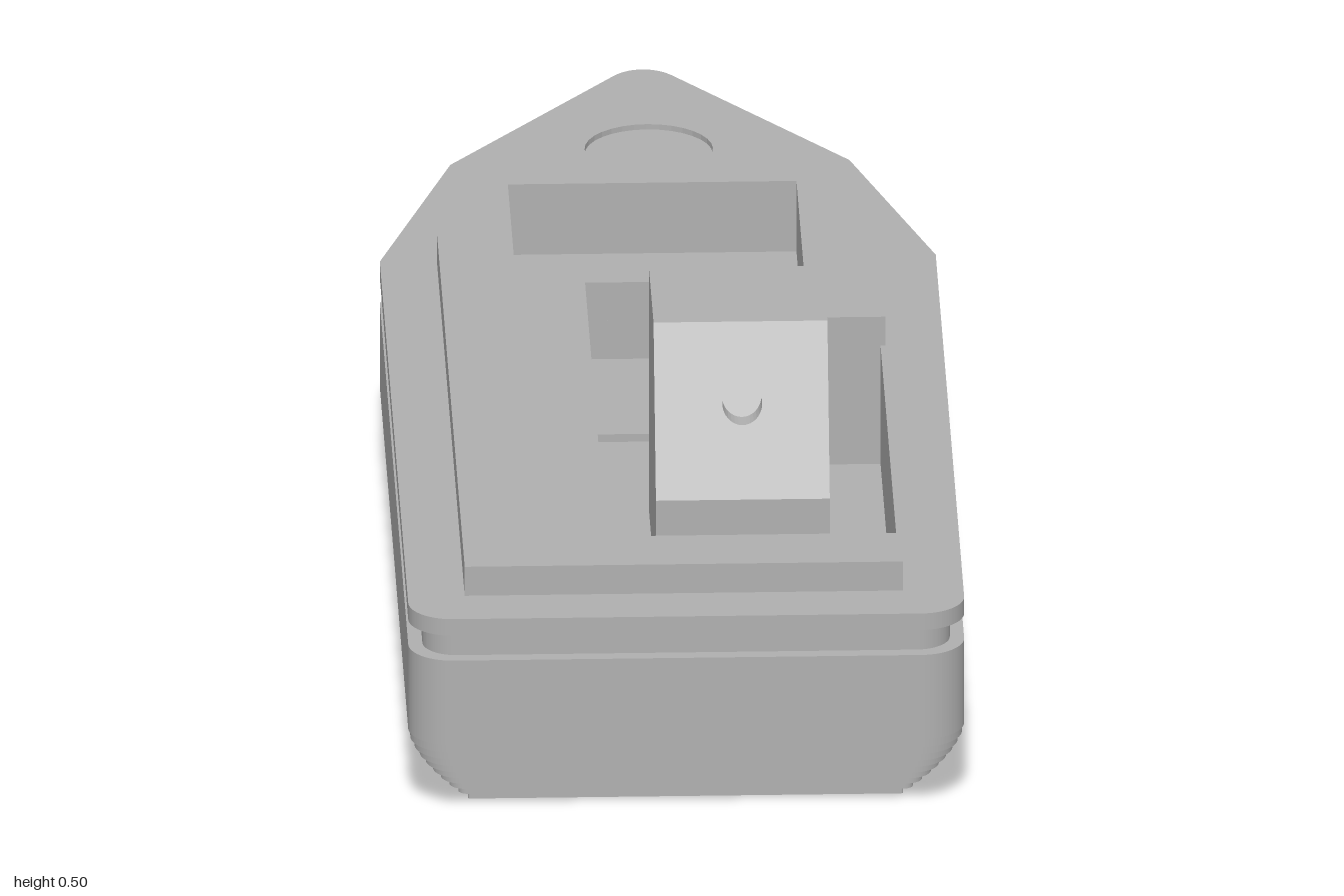
import * as THREE from 'three';

const grey = new THREE.MeshStandardMaterial({ color: 0xb0b0b0 });
grey.name = 'hull grey';

// Closed loop from [x, z] pairs; shape y runs towards the bow (-z)
const trace = (pts, target) => {
  pts.forEach(([x, z], i) => (i ? target.lineTo(x, -z) : target.moveTo(x, -z)));
  target.closePath();
  return target;
};
const polyHole = (pts) => trace(pts, new THREE.Path());
const roundHole = (x, z, r) => new THREE.Path().absarc(x, -z, r, 0, Math.PI * 2, true);

// Boat plan: inset from the gunwale, bow tip distance, knuckle distance
function boatPlan(inset, tip, knuckle) {
  const w = 0.39 - inset, stern = inset - 1, kx = 0.28 - inset;
  const r = Math.max(0.062 - inset * 0.7, 0.003);
  const s = new THREE.Shape();
  s.moveTo(w, stern + r);
  s.lineTo(w, 0.31);
  s.lineTo(kx, knuckle);
  s.lineTo(0.042, tip - 0.024);
  s.quadraticCurveTo(0.024, tip, 0, tip);
  s.quadraticCurveTo(-0.024, tip, -0.042, tip - 0.024);
  s.lineTo(-kx, knuckle);
  s.lineTo(-w, 0.31);
  s.lineTo(-w, stern + r);
  s.absarc(-w + r, stern + r, r, Math.PI, Math.PI * 1.5, false);
  s.absarc(w - r, stern + r, r, Math.PI * 1.5, Math.PI * 2, false);
  return s;
}

// Horizontal slab of a plan between two heights
function slab(name, shape, y0, y1, holes = []) {
  shape.holes.push(...holes);
  const g = new THREE.ExtrudeGeometry(shape, { depth: y1 - y0, bevelEnabled: false, curveSegments: 16 });
  g.rotateX(-Math.PI / 2).translate(0, y0, 0);
  const m = new THREE.Mesh(g, grey);
  m.name = name;
  return m;
}

export function createModel() {
  const boat = new THREE.Group();
  boat.name = 'boat';

  // Cockpit openings: narrow well below the benches, wide well above them
  const well = [[-0.1, -0.375], [0.1, -0.375], [0.1, 0.02], [0.302, 0.02], [0.302, 0.7], [-0.1, 0.7]];
  const wideWell = [[-0.205, -0.48], [0.2, -0.48], [0.2, 0.02], [0.302, 0.02], [0.302, 0.81], [-0.205, 0.81]];
  const floorSlot = [[-0.1, -0.1], [0.003, -0.1], [0.003, 0.003], [-0.1, 0.003]];

  // Stepped bilge with two round sockets underneath
  const bilgeTop = 0.117, sideTop = 0.245, bilge = 9, sides = 11;
  for (let k = 0; k < bilge; k++) {
    const t = k / bilge;
    const plan = boatPlan(0.085 * (1 - t) ** 1.5, 0.79 + 0.1 * t ** 0.85, 0.61 + 0.035 * t);
    const holes = k < bilge - 1 ? [roundHole(0, -0.16, 0.1), roundHole(0, 0.64, 0.1)] : [];
    boat.add(slab('bilgeStep', plan, t * bilgeTop, (k + 1) / bilge * bilgeTop, holes));
  }

  // Upright sides with a raked bow; the first layer is the cockpit floor
  const dy = (sideTop - bilgeTop) / sides;
  const floorY = bilgeTop + dy;
  for (let k = 0; k < sides; k++) {
    const t = k / (sides - 1), y = bilgeTop + k * dy;
    const plan = boatPlan(0, 0.895 + 0.085 * t, 0.645 + 0.015 * t);
    boat.add(slab(k ? 'hullSide' : 'cockpitFloor', plan, y, y + dy, [polyHole(k ? well : floorSlot)]));
  }

  // Groove under the gunwale, then the deck with a shallow round bow recess
  boat.add(slab('grooveBand', boatPlan(0.02, 0.965, 0.65), sideTop, 0.283, [polyHole(wideWell)]));
  boat.add(slab('deck', boatPlan(0, 1, 0.66), 0.283, 0.308, [polyHole(wideWell), roundHole(0, -0.71, 0.09)]));
  const recess = new THREE.Mesh(new THREE.CylinderGeometry(0.09, 0.09, 0.017, 32), grey);
  recess.name = 'bowRecessFloor';
  recess.position.set(0, 0.2915, -0.71);
  boat.add(recess);

  // Coaming around the cockpit, open along part of the left side
  const rim = [[0.309, 0.02], [0.309, -0.31], [0.22, -0.59], [-0.22, -0.59], [-0.31, -0.31], [-0.31, 0.915],
    [0.305, 0.915], [0.305, 0.81], [-0.205, 0.81], [-0.205, -0.48], [0.2, -0.48], [0.2, 0.02]];
  boat.add(slab('coaming', trace(rim, new THREE.Shape()), 0.308, 0.352));

  // Console body, extruded across from its side profile (z, y)
  const x0 = -0.028, x1 = 0.216, kneeY = 0.27, topY = 0.497, inset = 0.03;
  const profile = [[0.18, floorY], [0.485, floorY], [0.485, kneeY], [0.485 - inset, kneeY], [0.38 - inset, topY], [0.18, topY]];
  const body = new THREE.ExtrudeGeometry(
    new THREE.Shape(profile.map(([z, y]) => new THREE.Vector2(z, y))), { depth: x1 - x0, bevelEnabled: false });
  body.rotateY(-Math.PI / 2).translate(x1, 0, 0);

  // Sloping console face with a round socket, sheared back from vertical
  const face = new THREE.Shape([[x0, kneeY], [x1, kneeY], [x1, topY], [x0, topY]].map(([x, y]) => new THREE.Vector2(x, y)));
  face.holes.push(new THREE.Path().absarc(0.095, 0.393, 0.028, 0, Math.PI * 2, true));
  const front = new THREE.ExtrudeGeometry(face, { depth: inset, bevelEnabled: false, curveSegments: 16 });
  const p = front.attributes.position;
  for (let i = 0; i < p.count; i++) {
    p.setZ(i, p.getZ(i) + 0.485 - inset - 0.105 * (p.getY(i) - kneeY) / (topY - kneeY));
  }
  front.computeVertexNormals();

  const consoleGroup = new THREE.Group();
  consoleGroup.name = 'console';
  [['consoleBody', body], ['consoleFace', front]].forEach(([name, g]) => {
    const m = new THREE.Mesh(g, grey);
    m.name = name;
    consoleGroup.add(m);
  });
  boat.add(consoleGroup);
  return boat;
}
